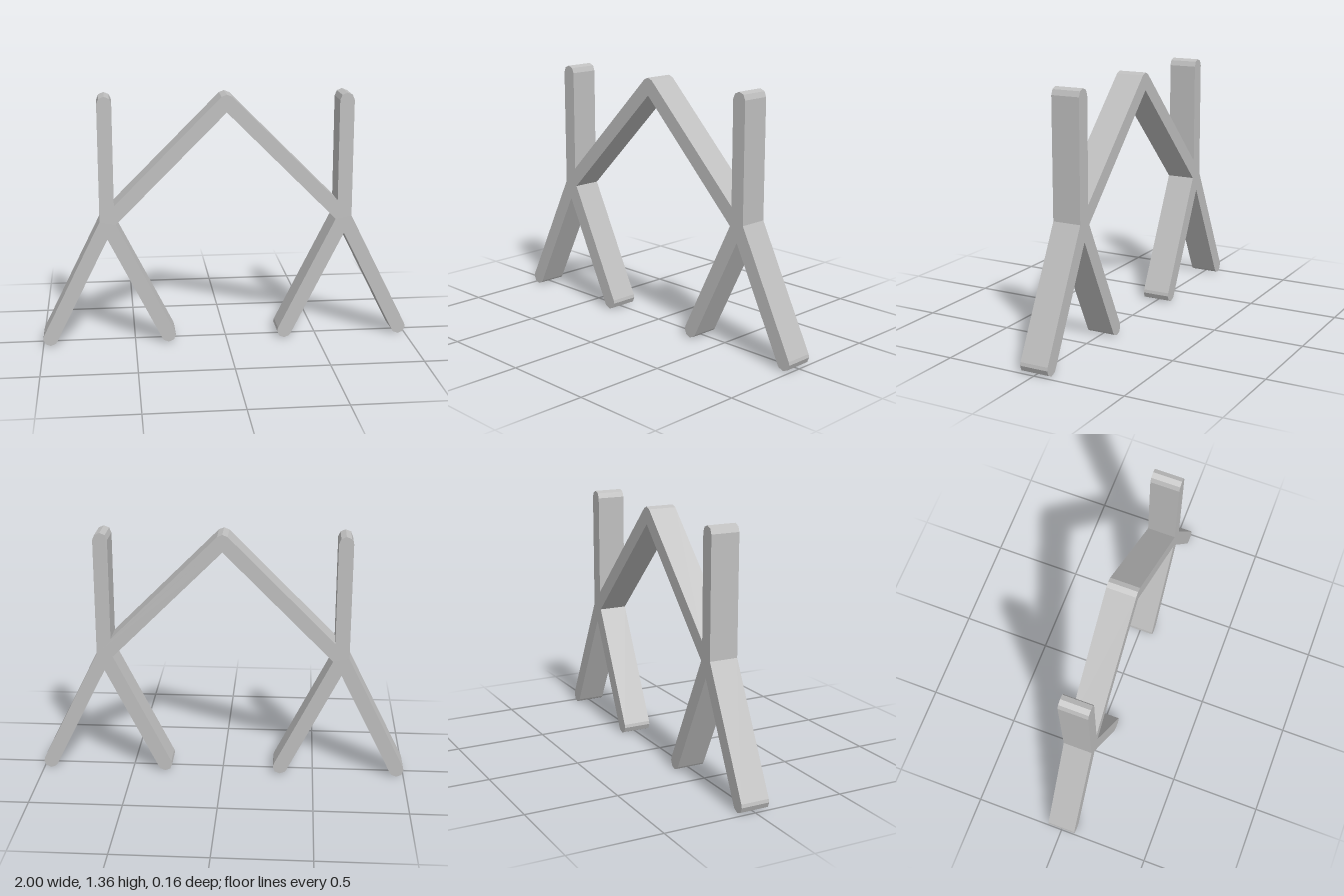
import * as THREE from 'three';

const R = 0.039;      // half the bar width
const DEPTH = 0.156;
const STEP = Math.PI / 4;
const TAU = Math.PI * 2;

// Bar centre lines: joints and the bars between them
const joints = [[0, 1.321]];
const bars = [];
for (const s of [-1, 1]) {
  const hub = joints.length;
  joints.push([s * 0.64, 0.68], [s * 0.64, 1.321], [s * 0.961, R], [s * 0.319, R]);
  bars.push([0, hub], [hub, hub + 1], [hub, hub + 2], [hub, hub + 3]);
}

const neighbours = (n) => bars.filter((b) => b.includes(n)).map((b) => (b[0] === n ? b[1] : b[0]));
const heading = (a, b) => Math.atan2(joints[b][1] - joints[a][1], joints[b][0] - joints[a][0]);

// Walk around the bars counter-clockwise, mitring inner corners and rounding outer ones
function outline() {
  const points = [];
  const add = (n, angle, d) => points.push(
    new THREE.Vector2(joints[n][0] + d * Math.cos(angle), joints[n][1] + d * Math.sin(angle)));
  let from = 0, to = 1;
  do {
    const back = heading(to, from);
    let next = from, gap = TAU;
    for (const n of neighbours(to)) {
      if (n === from) continue;
      const g = (heading(to, n) - back + 2 * TAU) % TAU;
      if (g < gap) { gap = g; next = n; }
    }
    if (gap < Math.PI) {
      add(to, back + gap / 2, R / Math.sin(gap / 2));
    } else {
      const start = back + Math.PI / 2, end = back + gap - Math.PI / 2;
      add(to, start, R);
      for (let k = Math.floor(start / STEP + 1e-4) + 1; k * STEP < end - 1e-4; k++) add(to, k * STEP, R);
      add(to, end, R);
    }
    [from, to] = [to, next];
  } while (from !== 0 || to !== 1);
  return points;
}

export function createModel() {
  const group = new THREE.Group();
  group.name = 'trestleFrame';
  const grey = new THREE.MeshStandardMaterial({ color: 0xbfbfbf });
  grey.name = 'grey';

  // Posts, sloping beams and splayed legs as one extruded frame
  const geometry = new THREE.ExtrudeGeometry(new THREE.Shape(outline()), { depth: DEPTH, bevelEnabled: false });
  geometry.translate(0, 0, -DEPTH / 2);
  const frame = new THREE.Mesh(geometry, grey);
  frame.name = 'frame';
  group.add(frame);
  return group;
}
